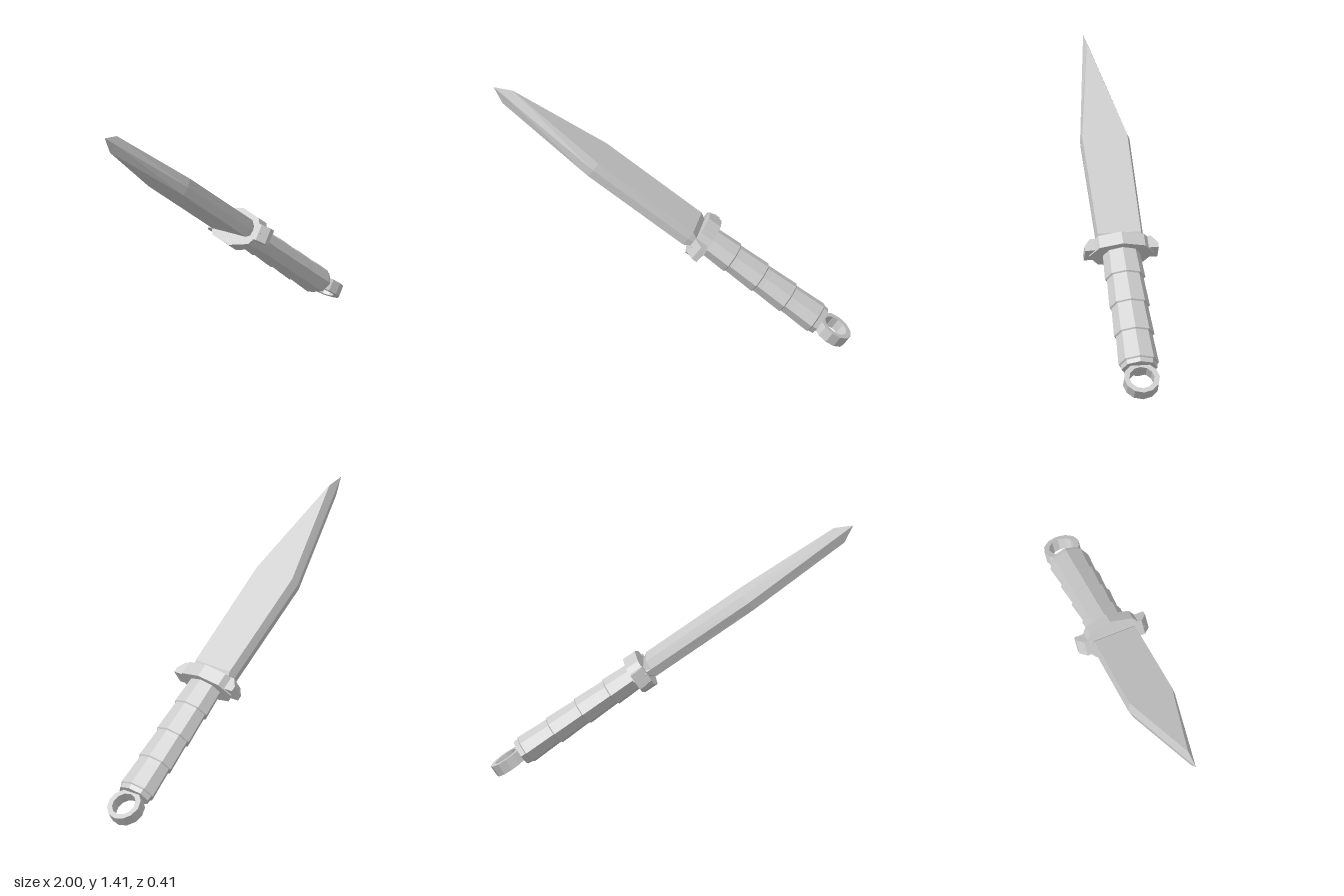
import * as THREE from 'three';

const material = new THREE.MeshStandardMaterial({ color: 0xcccccc, flatShading: true });

function part(name, geometry, parent) {
  const mesh = new THREE.Mesh(geometry, material);
  mesh.name = name;
  parent.add(mesh);
  return mesh;
}

// Joins closed cross-sections (lists of [x, y, z], counter-clockwise seen from +y) and caps the first.
function loft(sections) {
  const pos = [];
  const n = sections[0].length;
  for (let s = 0; s < sections.length - 1; s++) {
    for (let i = 0; i < n; i++) {
      const j = (i + 1) % n;
      const [a, b, c, d] = [sections[s][i], sections[s][j], sections[s + 1][j], sections[s + 1][i]];
      pos.push(...a, ...b, ...c, ...a, ...c, ...d);
    }
  }
  for (let i = 1; i < n - 1; i++) pos.push(...sections[0][0], ...sections[0][i + 1], ...sections[0][i]);
  const g = new THREE.BufferGeometry();
  g.setAttribute('position', new THREE.Float32BufferAttribute(pos, 3));
  g.computeVertexNormals();
  return g;
}

// Six-sided blade section: two flats and a ridge along each edge.
const bladeSection = (y, h, ridgeF, flatF, flatB, ridgeB) => [
  [0, y, ridgeF], [h, y, flatF], [h, y, flatB], [0, y, ridgeB], [-h, y, flatB], [-h, y, flatF],
];

// Eight-sided turned part, flattened across its thickness.
function octagonal(profile, flatten) {
  const g = new THREE.LatheGeometry(profile.map(([r, y]) => new THREE.Vector2(r, y)), 8);
  return g.scale(flatten, 1, 1);
}

export function createModel() {
  const model = new THREE.Group();
  model.name = 'knife';

  // Built along y (tip up), then tilted
  const knife = new THREE.Group();
  knife.name = 'tiltedKnife';
  knife.rotation.z = THREE.MathUtils.degToRad(55);
  knife.position.set(0.337, 0.481, 0);
  model.add(knife);

  // Blade
  part('blade', loft([
    bladeSection(0.225, 0.018, 0.122, 0.118, -0.118, -0.13),
    bladeSection(0.275, 0.05, 0.128, 0.122, -0.12, -0.136),
    bladeSection(0.925, 0.05, 0.13, 0.123, -0.128, -0.145),
    bladeSection(1.535, 0.05, 0.035, 0.017, 0.015, -0.003),
    bladeSection(1.631, 0, 0.02, 0.02, 0.02, 0.02),
  ]), knife);

  // Guard plate with a chamfered lug on each side
  part('guard', octagonal([[0, 0.16], [0.18, 0.16], [0.18, 0.24], [0, 0.24]], 0.62), knife);
  const lug = new THREE.Shape([
    [0.14, 0.168], [0.205, 0.168], [0.205, 0.2], [0.17, 0.245], [0.14, 0.245],
  ].map(([x, y]) => new THREE.Vector2(x, y)));
  const lugGeometry = new THREE.ExtrudeGeometry(lug, { depth: 0.092, bevelEnabled: false });
  lugGeometry.translate(0, 0, -0.046).rotateY(-Math.PI / 2);
  for (const side of [0, 1]) {
    part(side ? 'rightLug' : 'leftLug', lugGeometry, knife).rotation.y = side * Math.PI;
  }

  // Grip: four flaring segments separated by narrow steps
  const bottom = -0.6, top = 0.16, count = 4;
  const pitch = (top - bottom) / count;
  const profile = [[0, bottom], [0.1, bottom]];
  for (let i = 0; i < count; i++) {
    const y = bottom + i * pitch;
    profile.push([0.103, y + 0.028], [0.113, y + 0.034], [0.104, y + pitch]);
  }
  profile.push([0, top]);
  part('grip', octagonal(profile, 0.73), knife);

  // Pommel ring
  const ringProfile = [[0.07, -0.033], [0.1, -0.033], [0.1, 0.033], [0.07, 0.033], [0.07, -0.033]];
  const ring = part('pommelRing', new THREE.LatheGeometry(
    ringProfile.map(([r, y]) => new THREE.Vector2(r, y)), 12), knife);
  ring.rotation.z = Math.PI / 2;
  ring.position.y = -0.682;

  return model;
}
